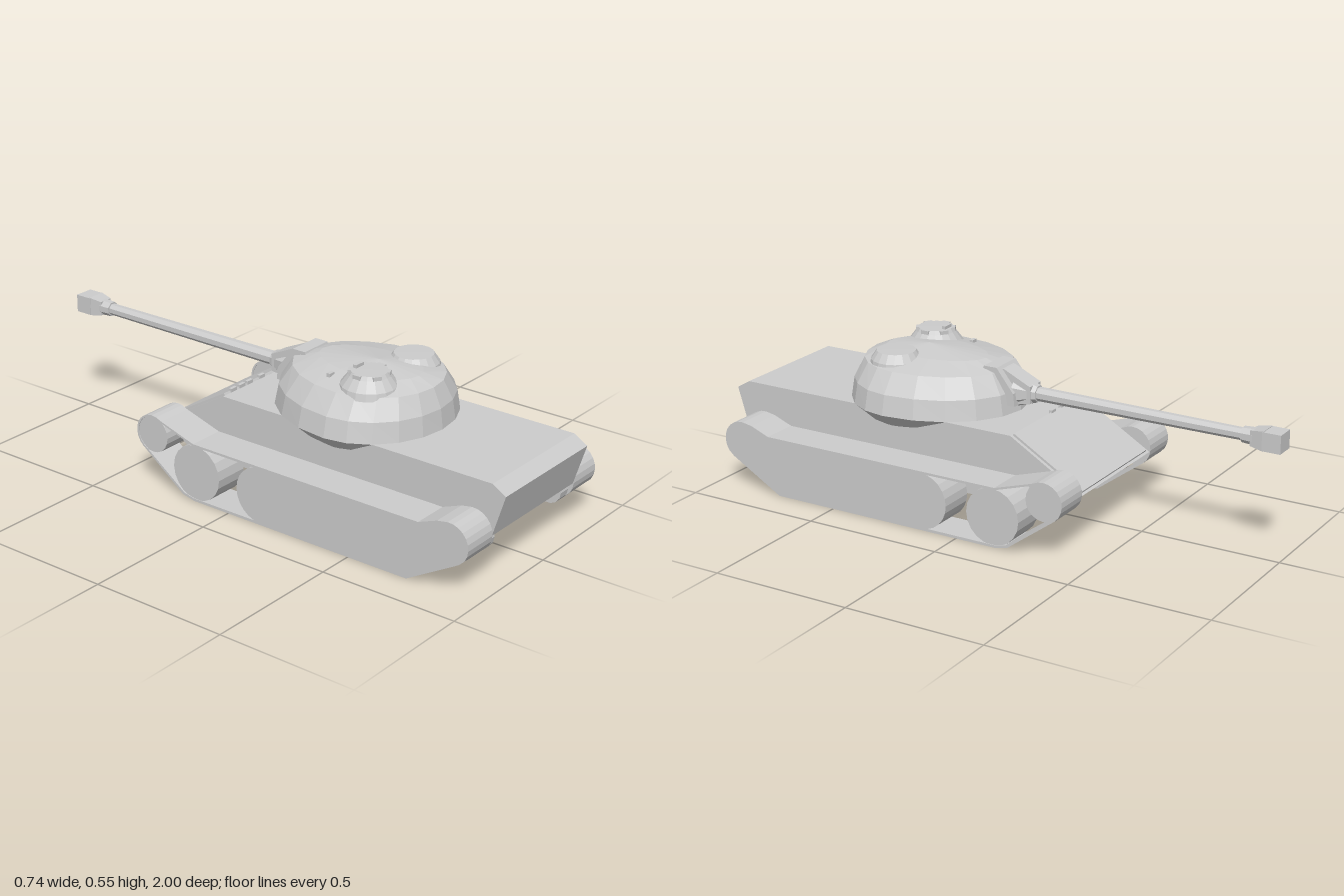
import * as THREE from 'three';

const mat = new THREE.MeshStandardMaterial({ color: 0xcccccc, flatShading: true, side: THREE.DoubleSide });

export function createModel() {
  const model = new THREE.Group();

  const add = (name, geometry, x = 0, y = 0, z = 0, parent = model) => {
    const mesh = new THREE.Mesh(geometry, mat);
    mesh.name = name;
    mesh.position.set(x, y, z);
    parent.add(mesh);
    return mesh;
  };
  const points = (list) => list.map(([z, y]) => new THREE.Vector2(z, y));
  // Side profile in (z, y), extruded across x
  const sideExtrude = (profile, width, hole) => {
    const shape = new THREE.Shape(points(profile));
    if (hole) shape.holes.push(new THREE.Path(points(hole)));
    const g = new THREE.ExtrudeGeometry(shape, { depth: width, bevelEnabled: false });
    return g.translate(0, 0, -width / 2).rotateY(-Math.PI / 2);
  };
  const arc = (cz, cy, r, from, to, n) => Array.from({ length: n + 1 }, (_, i) => {
    const a = THREE.MathUtils.degToRad(from + (to - from) * i / n);
    return [cz + r * Math.cos(a), cy + r * Math.sin(a)];
  });
  const wheel = (r, width, sides = 20) => new THREE.CylinderGeometry(r, r, width, sides).rotateZ(Math.PI / 2);
  // Tube along -z: r1 at its rear end, r2 at its front end
  const barrel = (r1, r2, length, sides) =>
    new THREE.CylinderGeometry(r2, r1, length, sides).rotateY(Math.PI / sides).rotateX(-Math.PI / 2);

  // Hull
  add('hull', sideExtrude([
    [0.95, 0.345], [-0.13, 0.345], [-0.4, 0.187], [-0.28, 0.108], [0.76, 0.108], [0.955, 0.168], [1, 0.315],
  ], 0.476));
  const plate = add('glacisPlate', new THREE.BoxGeometry(0.45, 0.008, 0.3), 0, 0.271, -0.264);
  plate.rotation.x = -Math.atan2(0.158, 0.27);
  for (const x of [-0.18, -0.135, -0.095, -0.03]) {
    add('driverPeriscope', new THREE.BoxGeometry(0.028, 0.014, 0.012), x, 0.35, -0.135);
  }

  // Running gear, mirrored
  const trackOutline = [
    [-0.15, 0], [0.73, 0], [0.925, 0.112],
    ...arc(0.885, 0.172, 0.073, -35, 95, 8),
    [0.84, 0.238], [0.77, 0.211], [-0.15, 0.211], [-0.29, 0.254],
    ...arc(-0.333, 0.196, 0.07, 75, 230, 10), [-0.2, 0.011],
  ];
  const trackOpening = [
    [-0.15, 0.009], [-0.195, 0.019],
    ...arc(-0.333, 0.196, 0.063, 230, 75, 10),
    [-0.29, 0.247], [-0.15, 0.203],
    ...arc(0.138, 0.106, 0.1, 105, 255, 10),
  ];
  for (const side of [1, -1]) {
    const gear = new THREE.Group();
    gear.name = side > 0 ? 'leftTrack' : 'rightTrack';
    model.add(gear);
    const x = side * 0.3055;
    add('trackBand', sideExtrude(trackOutline, 0.133, trackOpening), x, 0, 0, gear);
    add('roadWheel', wheel(0.1, 0.128), x, 0.106, -0.14, gear);
    add('idlerWheel', wheel(0.066, 0.128), x, 0.196, -0.333, gear);
    add('sprocketHub', wheel(0.048, 0.12, 14), side * 0.255, 0.143, 0.89, gear);
  }

  // Turret: egg-shaped rings, each [y, x scale, z scale]
  const levels = [
    [0.295, 0.82, 0.82], [0.345, 1, 1], [0.415, 0.95, 0.965],
    [0.482, 0.78, 0.85], [0.507, 0.4, 0.62], [0.525, 0, 0],
  ];
  const sides = 20, verts = [], index = [];
  levels.forEach(([y, sx, sz], i) => {
    for (let j = 0; j < sides; j++) {
      const a = (j / sides) * Math.PI * 2, s = Math.sin(a);
      verts.push(0.295 * sx * Math.cos(a), y, 0.34 + sz * s * (s > 0 ? 0.26 : 0.37));
      if (i === levels.length - 1) continue;
      const p = i * sides + j, q = i * sides + (j + 1) % sides;
      index.push(p, p + sides, q + sides, p, q + sides, q);
    }
  });
  const shell = new THREE.BufferGeometry();
  shell.setAttribute('position', new THREE.Float32BufferAttribute(verts, 3));
  shell.setIndex(index);
  shell.computeVertexNormals();
  add('turretShell', shell);

  // Commander cupola with a ring of periscopes
  const lathe = (profile) => new THREE.LatheGeometry(profile.map(([r, y]) => new THREE.Vector2(r, y)), 18);
  add('commanderCupola', lathe([[0.102, 0.47], [0.096, 0.495], [0.07, 0.529], [0.062, 0.542], [0, 0.543]]), -0.125, 0, 0.395);
  for (let i = 0; i < 6; i++) {
    const a = (i / 6) * Math.PI * 2 + 0.5;
    const scope = add('cupolaPeriscope', new THREE.BoxGeometry(0.03, 0.014, 0.014),
      -0.125 + 0.062 * Math.sin(a), 0.535, 0.395 + 0.062 * Math.cos(a));
    scope.rotation.y = a;
  }
  add('cupolaSight', new THREE.BoxGeometry(0.04, 0.014, 0.014), -0.125, 0.546, 0.35);

  // Second roof hatch and small roof sight
  add('roofHatch', lathe([[0.095, 0.46], [0.088, 0.495], [0.068, 0.524], [0, 0.525]]), 0.122, 0, 0.395);
  add('roofSight', new THREE.BoxGeometry(0.025, 0.02, 0.014), -0.155, 0.497, 0.26);

  // Mantlet and gun
  add('mantletFrame', sideExtrude([
    [0.1, 0.44], [0.08, 0.502], [0.03, 0.502], [-0.035, 0.42], [-0.04, 0.375], [0.02, 0.375],
  ], 0.124));
  add('mantletShield', sideExtrude([
    [0.04, 0.495], [0.015, 0.492], [-0.085, 0.446], [-0.085, 0.385], [-0.03, 0.378], [0.02, 0.39],
  ], 0.072));
  add('mantletCollar', barrel(0.056, 0.03, 0.08, 8), 0, 0.415, -0.06);
  add('gunBarrel', barrel(0.025, 0.021, 0.82, 8), 0, 0.415, -0.46);
  add('muzzleNeck', barrel(0.027, 0.03, 0.05, 8), 0, 0.415, -0.88);
  const flare = barrel(Math.SQRT2 * 0.026, Math.SQRT2 * 0.034, 0.05, 4);
  add('muzzleFlare', flare, 0, 0.415, -0.915);
  add('muzzleBrake', new THREE.BoxGeometry(0.07, 0.064, 0.065), 0, 0.415, -0.9675);

  return model;
}
